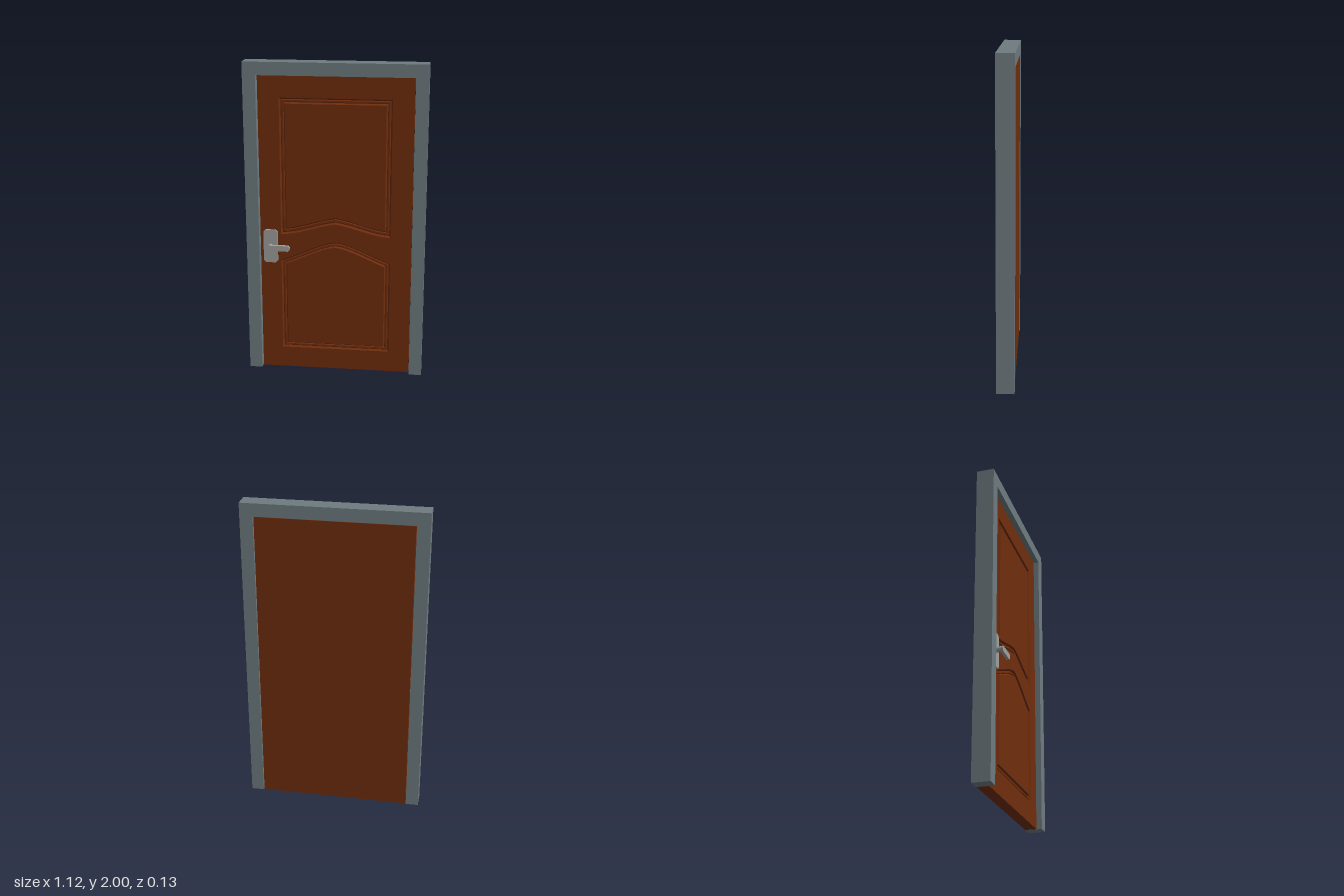
import * as THREE from 'three';

const material = (name, color) => {
  const m = new THREE.MeshStandardMaterial({ color });
  m.name = name;
  return m;
};

const toShape = (pts) => new THREE.Shape(pts.map(([x, y]) => new THREE.Vector2(x, y)));

// Symmetric arch height, interpolated from half-profile points [x, y]
function archHeight(profile, x) {
  const a = Math.abs(x);
  for (let i = 1; i < profile.length; i++) {
    const [x0, y0] = profile[i - 1], [x1, y1] = profile[i];
    if (a <= x1) return y0 + (y1 - y0) * (a - x0) / (x1 - x0);
  }
  return profile[profile.length - 1][1];
}

const upperArch = [[0, 0.99], [0.07, 0.977], [0.15, 0.954], [0.22, 0.934], [0.28, 0.92], [0.345, 0.914]];
const lowerArch = [[0, 0.872], [0.05, 0.864], [0.12, 0.838], [0.2, 0.803], [0.27, 0.772], [0.345, 0.742]];
const ARCH_STEPS = 16;

// Panel outlines, counter-clockwise, shrunk by an inset
function upperOutline(inset) {
  const w = 0.345 - inset, pts = [[w, 1.782 - inset], [-w, 1.782 - inset]];
  for (let i = 0; i <= ARCH_STEPS; i++) {
    const x = -w + 2 * w * i / ARCH_STEPS;
    pts.push([x, archHeight(upperArch, x) + inset * 1.15]);
  }
  return pts;
}
function lowerOutline(inset) {
  const w = 0.345 - inset, pts = [[-w, 0.138 + inset], [w, 0.138 + inset]];
  for (let i = 0; i <= ARCH_STEPS; i++) {
    const x = w - 2 * w * i / ARCH_STEPS;
    pts.push([x, archHeight(lowerArch, x) - inset]);
  }
  return pts;
}

// Moulded groove built from successive inset rings: [inset, z]
function grooveGeometry(outline, profile) {
  const pos = [];
  for (let k = 1; k < profile.length; k++) {
    const [ia, za] = profile[k - 1], [ib, zb] = profile[k];
    const a = outline(ia), b = outline(ib);
    for (let i = 0; i < a.length; i++) {
      const j = (i + 1) % a.length;
      const A = [...a[i], za], B = [...a[j], za], C = [...b[j], zb], D = [...b[i], zb];
      pos.push(...A, ...B, ...C, ...A, ...C, ...D);
    }
  }
  const g = new THREE.BufferGeometry();
  g.setAttribute('position', new THREE.Float32BufferAttribute(pos, 3));
  g.computeVertexNormals();
  return g;
}

export function createModel() {
  const model = new THREE.Group();
  model.name = 'door';
  const frameGrey = material('frame grey', 0x6f7b80);
  const wood = material('reddish brown wood', 0x702d0d);
  const metal = material('handle metal', 0xa0a09e);

  const add = (name, geometry, mat, x = 0, y = 0, z = 0, parent = model) => {
    const mesh = new THREE.Mesh(geometry, mat);
    mesh.name = name;
    mesh.position.set(x, y, z);
    parent.add(mesh);
    return mesh;
  };
  const extrude = (shape, depth) =>
    new THREE.ExtrudeGeometry(shape, { depth, bevelEnabled: false, curveSegments: 8 });

  // Surround: two jambs and a lintel in one piece
  const surround = toShape([
    [-0.56, 0], [-0.48, 0], [-0.48, 1.92], [0.48, 1.92],
    [0.48, 0], [0.56, 0], [0.56, 2], [-0.56, 2],
  ]);
  add('frame', extrude(surround, 0.11), frameGrey, 0, 0, -0.066);

  // Door leaf: solid back and a front layer cut out for the panels
  const leaf = new THREE.Group();
  leaf.name = 'doorLeaf';
  model.add(leaf);
  const W = 0.476, H = 1.917, FRONT = 0.01;
  add('leafBack', new THREE.BoxGeometry(2 * W, H, 0.052), wood, 0, H / 2, -0.036, leaf);
  const face = toShape([[-W, 0], [W, 0], [W, H], [-W, H]]);
  face.holes.push(toShape(upperOutline(0)), toShape(lowerOutline(0)));
  add('leafFront', extrude(face, 0.02), wood, 0, 0, FRONT - 0.02, leaf);

  // Moulded grooves with raised centre panels
  const groove = [[0, FRONT], [0.009, -0.002], [0.014, 0.003], [0.024, 0.003], [0.028, -0.002], [0.036, FRONT]];
  for (const [name, outline] of [['upper', upperOutline], ['lower', lowerOutline]]) {
    add(name + 'Moulding', grooveGeometry(outline, groove), wood, 0, 0, 0, leaf);
    add(name + 'Panel', new THREE.ShapeGeometry(toShape(outline(0.036))), wood, 0, 0, FRONT, leaf);
  }

  // Handle: chamfered back plate, spindle and lever
  const handle = new THREE.Group();
  handle.name = 'handle';
  handle.position.set(-0.411, 0.836, FRONT);
  model.add(handle);
  const pw = 0.045, ph = 0.108, c = 0.014;
  const plate = toShape([
    [-pw + c, -ph], [pw - c, -ph], [pw, -ph + c], [pw, ph - c],
    [pw - c, ph], [-pw + c, ph], [-pw, ph - c], [-pw, -ph + c],
  ]);
  add('backPlate', extrude(plate, 0.014), metal, 0, 0, 0, handle);
  const spindle = new THREE.CylinderGeometry(0.017, 0.017, 0.03, 16).rotateX(Math.PI / 2);
  add('spindle', spindle, metal, 0, 0, 0.024, handle);
  const r = 0.018;
  const lever = new THREE.Shape();
  lever.moveTo(0, -r);
  lever.lineTo(0.117, -r);
  lever.lineTo(0.127, -0.008);
  lever.lineTo(0.127, 0.008);
  lever.lineTo(0.117, r);
  lever.lineTo(0, r);
  lever.absarc(0, 0, r, Math.PI / 2, Math.PI * 1.5, false);
  add('lever', extrude(lever, 0.02), metal, 0, 0, 0.037, handle);

  // Latch plate in the gap beside the handle
  add('latchPlate', new THREE.BoxGeometry(0.003, 0.12, 0.03), metal, -0.4775, 0.865, -0.012);

  return model;
}
